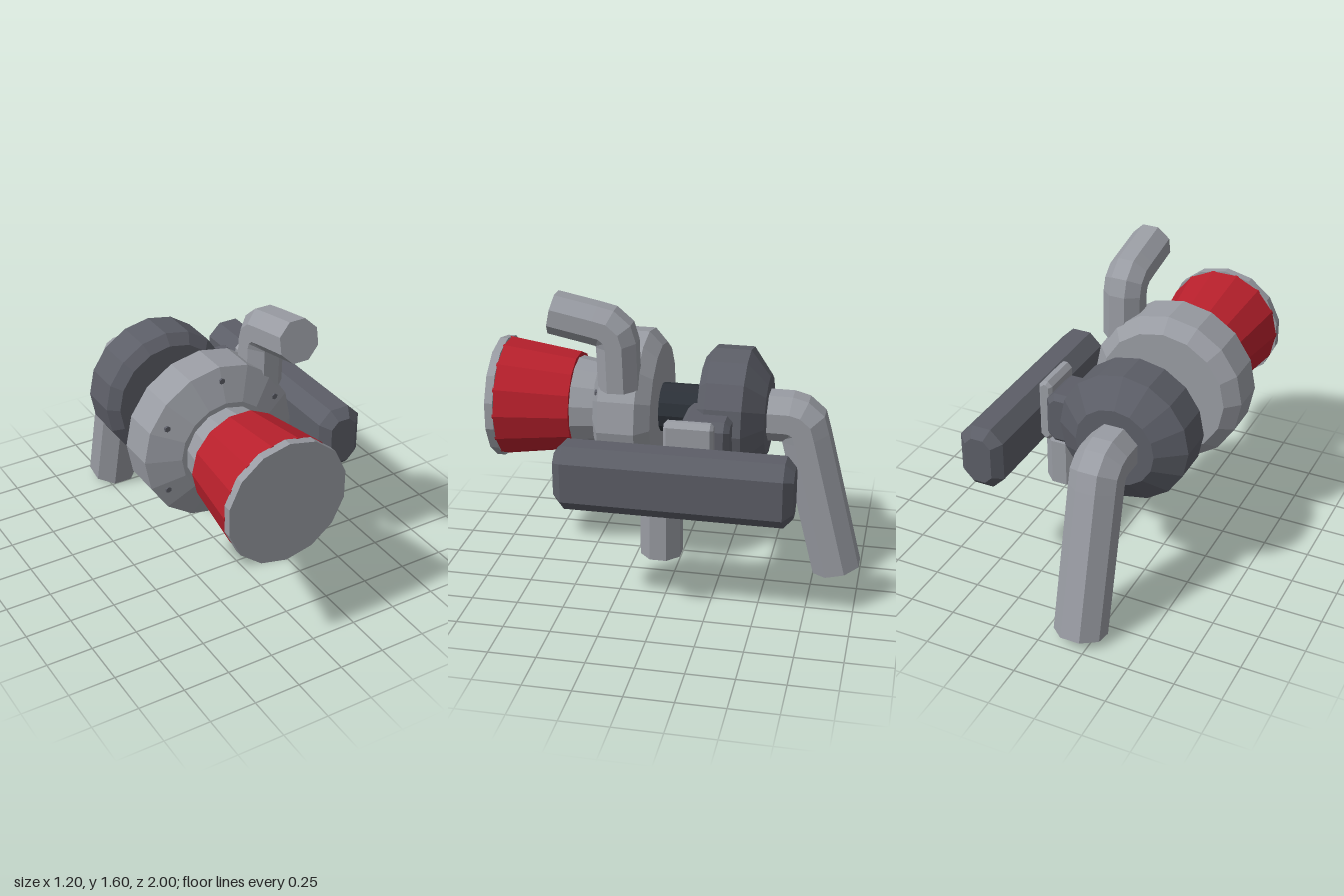
import * as THREE from 'three';

const flat = (name, color) => {
  const m = new THREE.MeshStandardMaterial({ color, flatShading: true });
  m.name = name;
  return m;
};

// Solid of revolution about z; profile is [radius, z] from back to front
function turned(profile, sides, turn = 0) {
  const pts = [[0, profile[0][1]], ...profile, [0, profile[profile.length - 1][1]]];
  const g = new THREE.LatheGeometry(pts.map(([r, z]) => new THREE.Vector2(r, z)), sides);
  return g.rotateY(turn).rotateX(Math.PI / 2);
}

// Octagonal pipe along [z, y] points at a fixed x, mitred at each bend
function bentPipe(x, path, halfWidth) {
  const n = 8, R = halfWidth / Math.cos(Math.PI / n);
  const pts = path.map(([z, y]) => new THREE.Vector3(x, y, z));
  const xAxis = new THREE.Vector3(1, 0, 0);
  const pos = [], idx = [];
  pts.forEach((p, i) => {
    const before = pts[Math.max(i - 1, 0)], after = pts[Math.min(i + 1, pts.length - 1)];
    const a = (i ? p.clone().sub(before) : after.clone().sub(p)).normalize();
    const b = (after !== p ? after.clone().sub(p) : a.clone()).normalize();
    const t = a.clone().add(b).normalize();
    const side = t.clone().cross(xAxis).multiplyScalar(1 / t.dot(a));
    for (let j = 0; j < n; j++) {
      const ang = (j + 0.5) / n * Math.PI * 2;
      const v = p.clone().addScaledVector(xAxis, R * Math.cos(ang)).addScaledVector(side, R * Math.sin(ang));
      pos.push(v.x, v.y, v.z);
    }
  });
  const last = (pts.length - 1) * n;
  for (let j = 0; j < n; j++) {
    const k = (j + 1) % n;
    for (let r = 0; r < last; r += n) idx.push(r + j, r + k, r + n + k, r + j, r + n + k, r + n + j);
    if (j > 0 && j < n - 1) idx.push(0, k, j, last, last + j, last + k);
  }
  const g = new THREE.BufferGeometry();
  g.setAttribute('position', new THREE.Float32BufferAttribute(pos, 3));
  g.setIndex(idx);
  g.computeVertexNormals();
  return g;
}

// Box with cut corners and bevelled ends, given by its outer limits
function chamferedBox([x0, x1], [y0, y1], [z0, z1], bevel, cut) {
  const l = x0 + bevel, r = x1 - bevel, b = y0 + bevel, t = y1 - bevel;
  const shape = new THREE.Shape([
    [l + cut, b], [r - cut, b], [r, b + cut], [r, t - cut],
    [r - cut, t], [l + cut, t], [l, t - cut], [l, b + cut],
  ].map(([x, y]) => new THREE.Vector2(x, y)));
  return new THREE.ExtrudeGeometry(shape, {
    depth: z1 - z0 - 2 * bevel, bevelThickness: bevel, bevelSize: bevel, bevelSegments: 1,
  }).translate(0, 0, z0 + bevel);
}

export function createModel() {
  const model = new THREE.Group();
  model.name = 'turbocharger';
  const light = flat('lightMetal', 0x999ca3);
  const dark = flat('darkMetal', 0x5c5e67);
  const black = flat('blackMetal', 0x2c3138);
  const red = flat('redSleeve', 0xb8202c);
  const axisX = -0.18, axisY = 0.906;

  const add = (name, geometry, material, parent = model) => {
    const mesh = new THREE.Mesh(geometry, material);
    mesh.name = name;
    parent.add(mesh);
    return mesh;
  };

  // Rotor line: everything turned about the main axis
  const core = new THREE.Group();
  core.name = 'core';
  core.position.set(axisX, axisY, 0);
  model.add(core);
  add('compressorHousing', turned([[0.35, 0.1], [0.422, 0.17], [0.422, 0.365], [0.25, 0.43]], 16), light, core);
  add('turbineHousing', turned([[0.215, -0.48], [0.356, -0.375], [0.356, -0.18], [0.3, -0.135]], 16), dark, core);
  add('bearingShaft', turned([[0.134, -0.2], [0.134, 0.15]], 12), black, core);
  add('intakeNeck', turned([[0.22, 0.4], [0.315, 0.96]], 14), light, core);
  add('intakeSleeve', turned([[0.268, 0.56], [0.325, 0.96]], 14, Math.PI / 14), red, core);
  add('intakeLip', turned([[0.33, 0.955], [0.33, 1.0]], 14), light, core);

  // Ring of bolts on the compressor face
  for (let i = 0; i < 6; i++) {
    const a = Math.PI / 2 + i * Math.PI / 3;
    const bolt = add('bolt', new THREE.CylinderGeometry(0.016, 0.016, 0.05, 6).rotateX(Math.PI / 2), dark, core);
    bolt.position.set(0.355 * Math.cos(a), 0.355 * Math.sin(a), 0.37);
  }

  // Pipes
  add('exhaustPipe', bentPipe(axisX,
    [[-0.42, 0.906], [-0.59, 0.906], [-0.63, 0.895], [-0.665, 0.865], [-0.682, 0.805], [-0.875, 0.035]], 0.128), light);
  add('outletPipe', bentPipe(0.116,
    [[0.265, 1.12], [0.272, 1.36], [0.287, 1.41], [0.33, 1.447], [0.39, 1.461], [0.61, 1.505]], 0.105), light);
  const stub = add('drainStub', new THREE.CylinderGeometry(0.112, 0.112, 0.265, 8).rotateY(Math.PI / 8), light);
  stub.position.set(0.337, 0.4375, 0);

  // Side actuator and its mounting
  add('actuatorCanister', chamferedBox([0.357, 0.6], [0.6, 0.946], [-0.7, 0.515], 0.048, 0.04), dark);
  add('mountingPlate', chamferedBox([0.285, 0.36], [0.69, 1.04], [-0.265, -0.01], 0.016, 0.016), light);
  add('mountingBlock', chamferedBox([-0.03, 0.287], [0.735, 1.018], [-0.333, -0.078], 0.028, 0.025), dark);
  return model;
}
